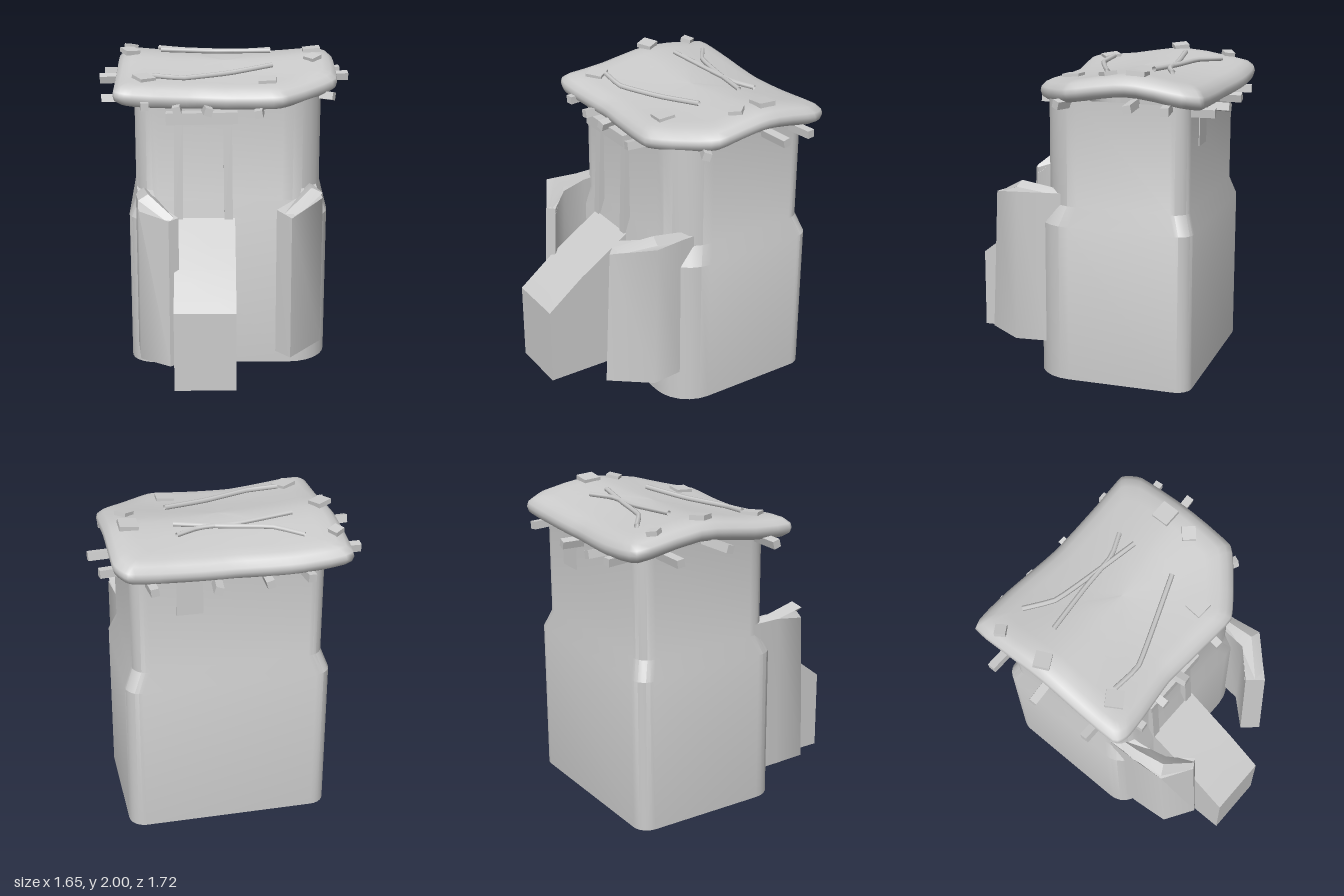
import * as THREE from 'three';
import { toCreasedNormals } from 'three/addons/utils/BufferGeometryUtils.js';

const mat = new THREE.MeshStandardMaterial({ color: 0xcccccc, side: THREE.DoubleSide });

function add(group, name, geo, pos = [0, 0, 0], rot = [0, 0, 0]) {
  const m = new THREE.Mesh(geo, mat);
  m.name = name;
  m.position.set(...pos);
  m.rotation.set(...rot);
  group.add(m);
  return m;
}

// Skin a list of equal-length rings of [x, y, z]
function loft(rings, closed = true) {
  const n = rings[0].length, idx = [];
  for (let i = 0; i < rings.length - 1; i++) {
    for (let j = 0; j < (closed ? n : n - 1); j++) {
      const a = i * n + j, b = i * n + (j + 1) % n, c = a + n, d = b + n;
      idx.push(a, b, c, b, d, c);
    }
  }
  const g = new THREE.BufferGeometry();
  g.setAttribute('position', new THREE.Float32BufferAttribute(rings.flat(2), 3));
  g.setIndex(idx);
  g.computeVertexNormals();
  return g;
}

// Outline of the walls: a rectangle with one wide and three tight rounded corners
function wallRing(x0, x1, z0, z1, y) {
  const corners = [[x1, z1, -1, -1, 0.25], [x0, z1, 1, -1, 0.15], [x0, z0, 1, 1, 0.1], [x1, z0, -1, 1, 0.1]];
  const pts = [];
  corners.forEach(([x, z, sx, sz, r], k) => {
    for (let i = 0; i <= 6; i++) {
      const t = (i / 6) * Math.PI / 2, a = k % 2 ? Math.PI / 2 - t : t;
      pts.push([x + sx * r * (1 - Math.cos(a)), y, z + sz * r * (1 - Math.sin(a))]);
    }
  });
  return pts.reverse();
}

// Sagging roof heights
const ridge = z => Math.exp(-(((z + 0.35) / 0.32) ** 2));
const roofTop = (x, z) => 1.865 + 0.07 * ridge(z) + 0.09 * x * x;
const roofRim = (x, z) => 1.795 + 0.06 * ridge(z) + 0.09 * x * x;
const roofUnder = (x, z) => 1.73 + 0.07 * ridge(z) + 0.08 * x * x;

function roofGeometry() {
  const outline = [[-0.71, -0.81], [-0.4, -0.835], [0, -0.8], [0.4, -0.805], [0.64, -0.81], [0.71, -0.7], [0.715, -0.35],
    [0.71, 0.02], [0.53, 0.19], [0.35, 0.32], [0.05, 0.305], [-0.2, 0.29], [-0.45, 0.32], [-0.62, 0.335], [-0.71, 0.29], [-0.71, -0.25]];
  const curve = new THREE.CatmullRomCurve3(outline.map(([x, z]) => new THREE.Vector3(x, 0, z)), true, 'catmullrom', 0.2);
  const edge = Array.from({ length: 64 }, (_, i) => curve.getPoint(i / 64));
  // [scale, share of top, share of underside]; the rest is rim height
  const profile = [[0, 1, 0], [0.25, 1, 0], [0.5, 1, 0], [0.75, 1, 0], [0.87, 0.92, 0], [0.94, 0.65, 0], [0.99, 0.2, 0],
    [1, 0, 0.2], [0.985, 0, 0.7], [0.94, 0, 1], [0.8, 0, 1], [0, 0, 1]];
  return loft(profile.map(([s, t, u]) => edge.map(p => {
    const x = p.x * s, z = -0.25 + (p.z + 0.25) * s;
    return [x, roofTop(x, z) * t + roofUnder(x, z) * u + roofRim(x, z) * (1 - t - u), z];
  })));
}

// Curved shield; each station is [outer x, outer z, inner x, inner z]
function addShield(group, name, stations, y0) {
  const shield = new THREE.Group();
  shield.name = name;
  const foot = [...stations.map(s => [s[0], s[1]]), ...stations.map(s => [s[2], s[3]]).reverse()];
  const shape = new THREE.Shape(foot.map(([x, z]) => new THREE.Vector2(x, -z)));
  const geo = new THREE.ExtrudeGeometry(shape, { depth: 1, bevelEnabled: false });
  geo.rotateX(-Math.PI / 2);
  // Lower the top toward the tip and lean the tip back
  const lean = z => z - 0.09 * Math.max(0, z - 0.2);
  const p = geo.attributes.position;
  for (let i = 0; i < p.count; i++) {
    const z = p.getZ(i);
    if (p.getY(i) > 0.5) p.setXYZ(i, p.getX(i), 1.19 - 0.25 * Math.max(0, z - 0.4), lean(z));
    else p.setY(i, y0 - (z > 0.5 ? 0.01 : 0));
  }
  add(shield, 'shieldPanel', toCreasedNormals(geo, 0.9));
  // Ridged cover on the top edge
  const top = [1.18, 1.22, 1.25, 1.14];
  const cap = stations.map(([ox, oz, ix, iz], i) => [
    [ox, top[i] - 0.03, lean(oz)],
    [(ox + ix) / 2, top[i], lean((oz + iz) / 2)],
    [ix, top[i] - 0.05, lean(iz)],
  ]);
  add(shield, 'shieldCover', toCreasedNormals(loft(cap, false), 0.5));
  group.add(shield);
}

export function createModel() {
  const g = new THREE.Group();
  g.name = 'hut';

  // Open-bottomed walls with a step at mid height
  const lower = [-0.63, 0.66, -0.75, 0.28], upper = [-0.585, 0.61, -0.71, 0.24];
  add(g, 'walls', toCreasedNormals(loft([
    wallRing(...lower, 0), wallRing(...lower, 1.0), wallRing(...upper, 1.12), wallRing(...upper, 1.79),
  ]), 0.45));

  add(g, 'roof', roofGeometry());

  // Hollow entrance ramp, open underneath and at the back
  const section = [[0.28, 0.08], [0.86, 0.08], [0.86, 0.6], [0.62, 0.79], [0.28, 1.015]];
  const sideShape = new THREE.Shape(section.map(([z, y]) => new THREE.Vector2(z, y)));
  for (const x of [-0.33, 0.055]) {
    const side = new THREE.ShapeGeometry(sideShape);
    side.rotateY(x < 0 ? -Math.PI / 2 : -Math.PI / 2);
    add(g, 'rampSide', side, [x, 0, 0]);
  }
  const skin = section.slice(1).map(([z, y]) => [[-0.33, y, z], [0.055, y, z]]);
  add(g, 'rampFront', toCreasedNormals(loft(skin, false), 0.5));

  // Door frame
  for (const x of [-0.305, 0.01]) {
    add(g, 'doorPost', new THREE.BoxGeometry(0.055, 0.68, 0.05), [x, 1.34, 0.25], [-0.04, 0, x < 0 ? -0.01 : 0.01]);
  }
  add(g, 'lintel', new THREE.BoxGeometry(0.45, 0.075, 0.07), [-0.155, 1.68, 0.27], [0, 0, 0.015]);

  // Small rear hatch
  add(g, 'rearHatch', new THREE.BoxGeometry(0.16, 0.26, 0.012), [0.26, 1.63, -0.71]);

  addShield(g, 'leftShield', [[0.575, 0, 0.5, 0], [0.585, 0.2, 0.48, 0.2], [0.605, 0.41, 0.465, 0.38], [0.4, 0.65, 0.31, 0.55]], 0.215);
  addShield(g, 'rightShield', [[-0.58, 0.1, -0.48, 0.1], [-0.575, 0.33, -0.465, 0.3], [-0.55, 0.56, -0.43, 0.49], [-0.36, 0.68, -0.3, 0.64]], 0.17);

  // Rafter ends under the eaves: [x, y, z, yaw]
  const rafter = new THREE.BoxGeometry(0.05, 0.05, 0.24);
  const ends = [
    [-0.52, 1.77, 0.24, 0.1], [-0.31, 1.745, 0.24, 0], [-0.13, 1.735, 0.24, 0.15], [0.21, 1.72, 0.24, -0.1],
    [-0.43, 1.74, -0.74, 0.15], [-0.2, 1.72, -0.73, 0], [0.1, 1.71, -0.73, -0.1], [0.5, 1.74, -0.73, 0.1],
    [-0.7, 1.78, -0.58, 1.57], [-0.71, 1.81, -0.25, 1.65], [-0.67, 1.77, 0.13, 1.57],
    [0.66, 1.78, -0.6, 1.7], [0.7, 1.79, -0.39, 1.65], [0.58, 1.77, 0.04, 1.1],
  ];
  ends.forEach(([x, y, z, yaw], i) => {
    add(g, 'rafterEnd', rafter, [x, y, z], [0, yaw, 0.3 * Math.sin(i * 2.3)]).rotation.order = 'YXZ';
  });

  // Bent sticks lying on the roof
  const sticks = [
    [[-0.45, -0.65], [-0.28, -0.53], [0, -0.47], [0.3, -0.41]],
    [[-0.43, -0.41], [-0.1, -0.45], [0.15, -0.465], [0.3, -0.53]],
    [[-0.47, 0.1], [-0.27, 0.11], [0.02, 0], [0.3, -0.11]],
  ];
  for (const s of sticks) {
    const path = new THREE.CatmullRomCurve3(s.map(([x, z]) => new THREE.Vector3(x, roofTop(x, z) + 0.015, z)), false, 'catmullrom', 0.2);
    add(g, 'roofStick', new THREE.TubeGeometry(path, 12, 0.016, 6));
  }

  // Patches tilted to the roof surface: [x, z, size, yaw]
  const patches = [[-0.64, -0.65, 0.07, 0.6], [-0.63, -0.32, 0.1, 0.5], [-0.52, 0.14, 0.11, 0.6],
    [0.26, 0.13, 0.11, -0.05], [0.57, -0.39, 0.115, 0], [0.565, -0.2, 0.085, 0.75]];
  for (const [x, z, size, yaw] of patches) {
    const dx = (roofTop(x + 0.05, z) - roofTop(x - 0.05, z)) / 0.1;
    const dz = (roofTop(x, z + 0.05) - roofTop(x, z - 0.05)) / 0.1;
    const m = add(g, 'roofPatch', new THREE.BoxGeometry(size, 0.03, size), [x, roofTop(x, z) + 0.005, z]);
    m.quaternion.setFromUnitVectors(new THREE.Vector3(0, 1, 0), new THREE.Vector3(-dx, 1, -dz).normalize());
    m.rotateY(yaw);
  }
  return g;
}
